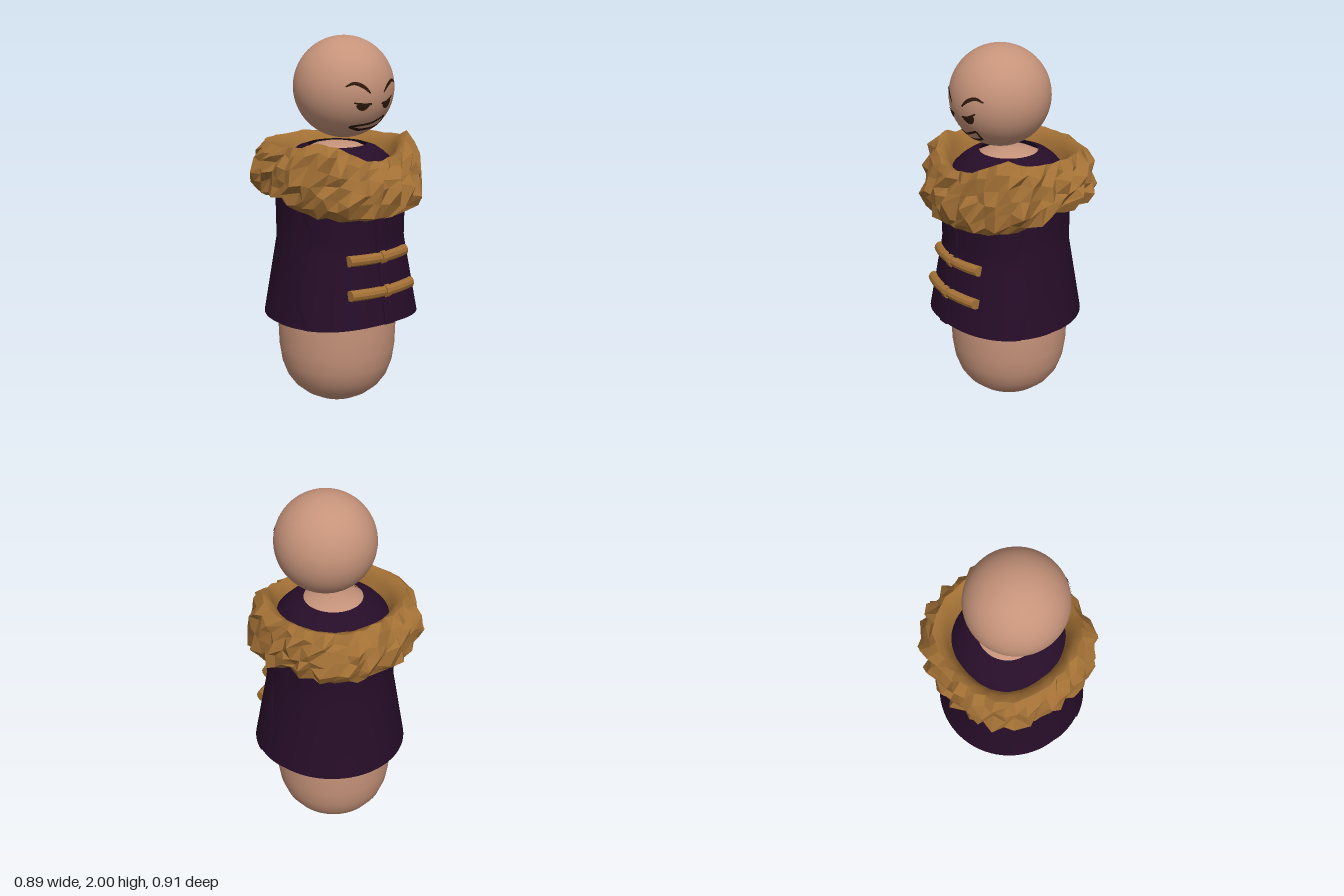
import * as THREE from 'three';

const mat = (name, color, extra = {}) => {
  const m = new THREE.MeshStandardMaterial({ color, ...extra });
  m.name = name;
  return m;
};

// Surface from a rule fn(u, v) -> [x, y, z]; wrap closes it around u
function grid(nu, nv, wrap, fn) {
  const pos = [], idx = [], cols = wrap ? nu : nu + 1;
  for (let j = 0; j <= nv; j++)
    for (let i = 0; i < cols; i++) pos.push(...fn(i, j));
  for (let j = 0; j < nv; j++)
    for (let i = 0; i < nu; i++) {
      const n = (i + 1) % cols;
      const a = j * cols + i, b = j * cols + n, c = a + cols, d = b + cols;
      idx.push(a, b, d, a, d, c);
    }
  const g = new THREE.BufferGeometry();
  g.setAttribute('position', new THREE.Float32BufferAttribute(pos, 3));
  g.setIndex(idx);
  g.computeVertexNormals();
  return g;
}

// Linear lookup in a list of [key, value]
function lookup(table, k) {
  for (let i = 1; i < table.length; i++) {
    const [a, va] = table[i - 1], [b, vb] = table[i];
    if (k <= b) return va + (vb - va) * Math.max(0, (k - a) / (b - a));
  }
  return table[table.length - 1][1];
}

const hash = (i, j) => {
  const s = Math.sin(i * 127.1 + j * 311.7 + 4.3) * 43758.5453;
  return (s - Math.floor(s)) * 2 - 1;
};

// Coat radius by height
const COAT = [[0.51, 0.402], [0.93, 0.331], [1.2, 0.335], [1.27, 0.325], [1.33, 0.295],
  [1.38, 0.25], [1.41, 0.21], [1.428, 0.155]];
const SEAM = [[0.52, 1.1], [0.68, 1.27], [1.02, 1.11], [1.2, 1.33]];

// Point on the coat; angle 0 is the front, which is a little fuller
function coatPoint(t, y, offset = 0) {
  const c = Math.cos(t), f = Math.max(0, c);
  const swell = 1 + 0.05 * Math.sqrt(f) + (c > 0 ? 0.03 * Math.sin(2 * t) ** 2 : 0.025 * c);
  const r = lookup(COAT, y) * (1 + (swell - 1) * Math.min(1, (1.45 - y) / 0.2)) + offset;
  return [Math.sin(t) * r, y, c * r];
}
const hemY = (t) => 0.512 + 0.02 * Math.max(0, Math.cos(t)) ** 4;

export function createModel() {
  const group = new THREE.Group();
  const skin = mat('skin', 0xc6937a);
  const cloth = mat('purple cloth', 0x260d28, { side: THREE.DoubleSide });
  const furFlat = mat('fur', 0xa27035, { flatShading: true, side: THREE.DoubleSide });
  const ink = mat('face lines', 0x2e1a0a, { side: THREE.DoubleSide });
  const add = (name, geo, m, parent = group) => {
    const mesh = new THREE.Mesh(geo, m);
    mesh.name = name;
    parent.add(mesh);
    return mesh;
  };

  // Head and pill-shaped body
  const HR = 0.265, HY = 1.735, HZ = 0.055;
  add('head', new THREE.SphereGeometry(HR, 48, 32), skin).position.set(0, HY, HZ);
  const bodyProfile = [[0, 0], [0.06, 0.006], [0.12, 0.024], [0.18, 0.055], [0.235, 0.1], [0.275, 0.155],
    [0.303, 0.23], [0.317, 0.32], [0.322, 0.45], [0.318, 1.15], [0.3, 1.25], [0.255, 1.33],
    [0.19, 1.39], [0.12, 1.425], [0.06, 1.437], [0, 1.44]].map((p) => new THREE.Vector2(...p));
  add('body', new THREE.LatheGeometry(bodyProfile, 48), skin);

  // Face: ribbons laid on the head, points are [x, y, half width]
  const face = new THREE.Group();
  face.name = 'face';
  group.add(face);
  const onHead = (x, y) => {
    const v = new THREE.Vector3(x, y - HY, 0);
    v.z = Math.sqrt(HR * HR - v.x * v.x - v.y * v.y);
    v.setLength(HR + 0.003);
    return [v.x, v.y + HY, v.z + HZ];
  };
  const ribbon = (name, pts, closed = false, tension = 0.5) => {
    const curve = new THREE.CatmullRomCurve3(pts.map((p) => new THREE.Vector3(...p)), closed, 'catmullrom', tension);
    const n = closed ? 60 : 20;
    add(name, grid(n, 2, false, (i, j) => {
      const p = curve.getPoint(i / n), d = curve.getTangent(i / n);
      const l = Math.hypot(d.x, d.y) || 1, w = (j - 1) * p.z;
      return onHead(p.x - (d.y / l) * w, p.y + (d.x / l) * w);
    }), ink, face);
  };
  ribbon('rightBrow', [[-0.163, 1.764, 0.003], [-0.125, 1.779, 0.008], [-0.083, 1.762, 0.009], [-0.045, 1.728, 0.004]]);
  ribbon('leftBrow', [[0.043, 1.728, 0.004], [0.08, 1.762, 0.009], [0.122, 1.779, 0.008], [0.16, 1.764, 0.003]]);
  ribbon('rightLid', [[-0.125, 1.682, 0.003], [-0.08, 1.672, 0.007], [-0.032, 1.672, 0.005]]);
  ribbon('leftLid', [[0.035, 1.67, 0.005], [0.08, 1.677, 0.007], [0.122, 1.702, 0.003]]);
  ribbon('rightEye', [[-0.112, 1.667, 0.004], [-0.09, 1.658, 0.014], [-0.07, 1.657, 0.016], [-0.045, 1.666, 0.004]]);
  ribbon('leftEye', [[0.045, 1.663, 0.004], [0.066, 1.656, 0.014], [0.087, 1.66, 0.016], [0.11, 1.682, 0.004]]);
  ribbon('mouth', [[-0.1, 1.553, 0.006], [0.01, 1.567, 0.006], [0.09, 1.598, 0.006], [0.088, 1.553, 0.006],
    [0.035, 1.537, 0.007], [-0.04, 1.532, 0.007]], true, 0.15);

  // Coat: lining up from the hem, then the outside up to the neck
  const rows = [0.3, 0.6, 0.93, 1.07, 1.2, 1.24, 1.27, 1.3, 1.33, 1.355, 1.38, 1.41, 1.428];
  const N = 72;
  add('coat', grid(N, rows.length + 2, true, (i, j) => {
    const t = (i / N) * Math.PI * 2, h = hemY(t);
    if (j === 0) return coatPoint(t, 0.95, -0.012);
    if (j === 1) return coatPoint(t, h, -0.02);
    if (j === 2) return coatPoint(t, h);
    return coatPoint(t, Math.max(rows[j - 3], h));
  }), cloth);

  // Raised panel with edges folded back onto the coat
  const panel = (name, half, thick) => {
    const nu = 32, nv = 20;
    add(name, grid(nu, nv, false, (i, j) => {
      const edge = i === 0 || i === nu;
      const u = edge ? (i ? 1 : -1) : ((i - 1) / (nu - 2)) * 2 - 1;
      const f = j / nv, y0 = 0.52 + f * 0.7;
      const t = u * half(y0), y = hemY(t) + f * (1.22 - hemY(t));
      return coatPoint(t, y, edge ? -0.002 : thick);
    }), cloth);
  };
  panel('coatFront', (y) => lookup(SEAM, y), 0.006);
  panel('placket', (y) => 0.075 + Math.max(0, y - 0.6) * 0.07, 0.014);

  // Toggle fastenings bent around the front
  for (const [y, z, half] of [[0.877, 0.362, 0.197], [0.703, 0.395, 0.213]]) {
    const toggle = new THREE.Group();
    toggle.name = 'toggle';
    toggle.position.set(0, y, z);
    group.add(toggle);
    const bar = new THREE.CylinderGeometry(0.029, 0.029, half * 2, 10, 8).rotateZ(Math.PI / 2);
    const p = bar.attributes.position;
    for (let i = 0; i < p.count; i++) p.setZ(i, p.getZ(i) - 0.038 * (p.getX(i) / half) ** 2);
    bar.computeVertexNormals();
    add('toggleBar', bar, furFlat, toggle);
    add('toggleLoop', new THREE.CylinderGeometry(0.036, 0.036, 0.03, 10).rotateZ(Math.PI / 2), furFlat, toggle);
  }

  // Fur collar cross-section: radius, height between bottom (0) and top (1), tuft size
  const section = [[0.325, 0.2, 0], [0.37, 0.0, 0.5], [0.41, 0.1, 0.9], [0.425, 0.28, 1], [0.425, 0.48, 1],
    [0.41, 0.68, 0.9], [0.39, 0.86, 0.8], [0.355, 1, 0.35], [0.325, 0.96, 0.12], [0.295, 0.82, 0.08], [0.275, 0.6, 0]];
  const C = 46;
  const furPoint = (i, j) => {
    const [r0, h, s] = section[j];
    const t = ((i + s * 0.3 * hash(i, j + 20)) / C) * Math.PI * 2;
    const c = Math.cos(t), f = Math.max(0, c);
    const side = Math.abs(Math.atan2(Math.sin(t), c));
    const top = 1.445 - 0.06 * f ** 6 + 0.045 * Math.exp(-(((side - 0.9) / 0.3) ** 2));
    const bottom = 1.185 - (c > 0 ? 0.1 * Math.sqrt(f) : -0.03 * c);
    const peak = (i + (j >> 1)) % 2 ? 1 : -1;
    const r = r0 * (1 + 0.055 * (1 - Math.cos(4 * t)) / 2) + s * (0.015 * peak + 0.024 * hash(i, j));
    const y = bottom + h * (top - bottom) + s * 0.022 * hash(i, j + 40);
    return [Math.sin(t) * r, y, c * r];
  };
  const collar = new THREE.Group();
  collar.name = 'furCollar';
  group.add(collar);
  const furSmooth = furFlat.clone();
  furSmooth.flatShading = false;
  add('collarOutside', grid(C, 7, true, furPoint), furFlat, collar);
  add('collarInside', grid(C, 3, true, (i, j) => furPoint(i, j + 7)), furSmooth, collar);

  return group;
}
